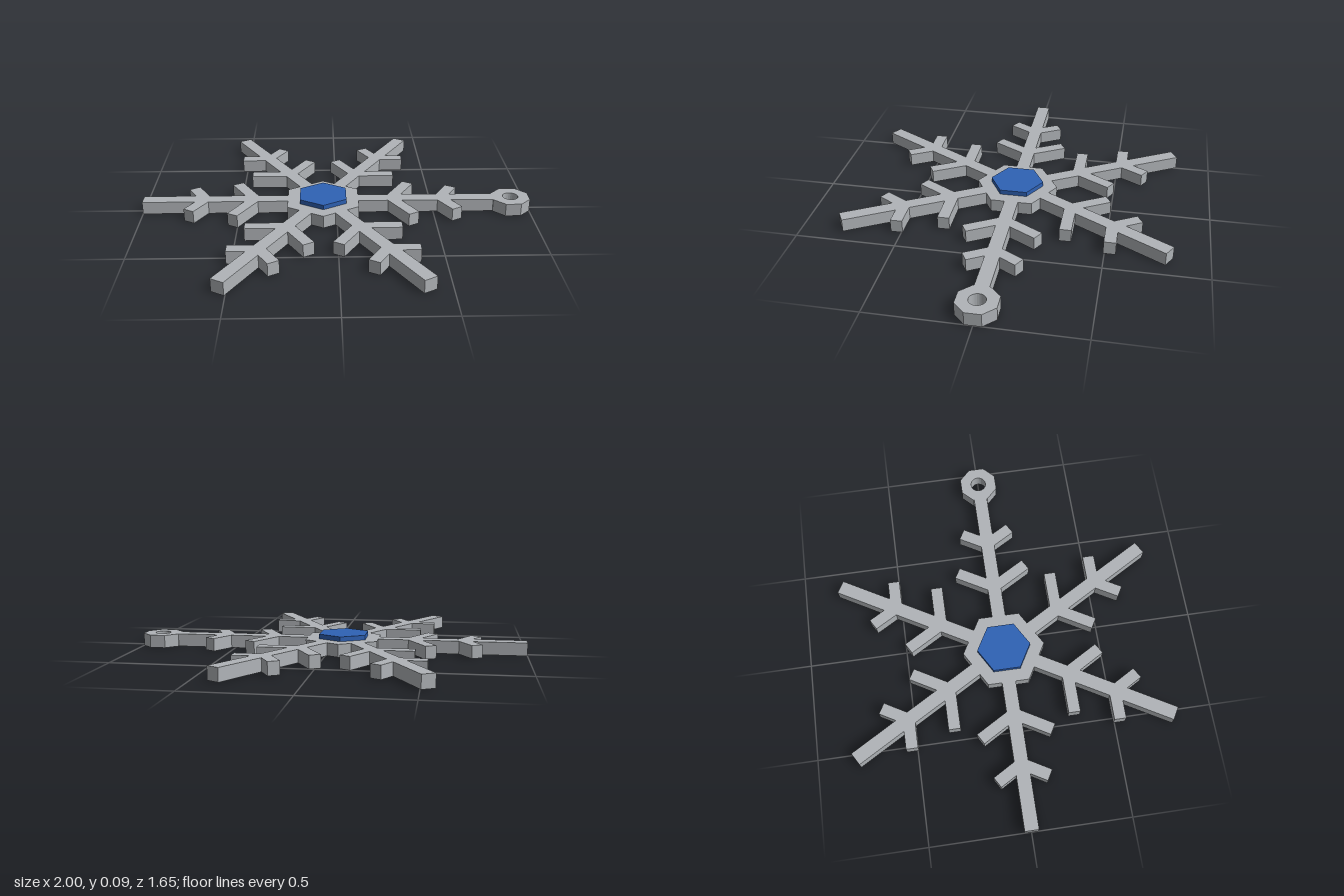
import * as THREE from 'three';

const CENTRE_X = -0.07;
const THICK = 0.066;      // slab height
const GEM_TOP = 0.09;
const HALF = 0.035;       // half width of an arm
const TWIG_HALF = 0.03;   // half width of a side twig
const ARM = 0.93;
const HUB_R = 0.21;
const TWIGS = [{ at: 0.35, len: 0.21 }, { at: 0.605, len: 0.15 }];
const RING = { at: 0.975, apothem: 0.095, hole: 0.04 };

// One side of an arm, from hub to tip, as [along, across] points
function armSide(hasRing) {
  const c = 0.5, s = Math.sqrt(3) / 2;
  const pts = [[HUB_R * s, HALF]];
  for (const { at, len } of TWIGS) {
    const mid = at + HALF * c / s, gap = TWIG_HALF / s;
    const tip = [at + len * c, len * s];
    pts.push(
      [mid - gap, HALF],
      [tip[0] - TWIG_HALF * s, tip[1] + TWIG_HALF * c],
      [tip[0] + TWIG_HALF * s, tip[1] - TWIG_HALF * c],
      [mid + gap, HALF]);
  }
  if (!hasRing) return [...pts, [ARM, HALF]];
  // the arm runs into an eight-sided ring
  const a = RING.apothem, e = a * Math.tan(Math.PI / 8);
  return [...pts, [RING.at - a, HALF], [RING.at - a, e], [RING.at - e, a], [RING.at + e, a], [RING.at + a, e]];
}

// Whole outline: six arms, with a hub corner between neighbours
function snowflakeShape() {
  const outline = [];
  for (let i = 0; i < 6; i++) {
    const angle = i * Math.PI / 3;
    const side = armSide(i === 0);
    const arm = [...side.map(([r, t]) => [r, -t]), ...side.slice().reverse()];
    for (const [r, t] of arm) {
      outline.push(new THREE.Vector2(r, t).rotateAround(new THREE.Vector2(), angle));
    }
    const corner = angle + Math.PI / 6;
    outline.push(new THREE.Vector2(Math.cos(corner) * HUB_R, Math.sin(corner) * HUB_R));
  }
  const shape = new THREE.Shape(outline);
  shape.holes.push(new THREE.Path().absarc(RING.at, 0, RING.hole, 0, Math.PI * 2, true));
  return shape;
}

export function createModel() {
  const silver = new THREE.MeshStandardMaterial({ color: 0xb0b4b8 });
  silver.name = 'silver';
  const blue = new THREE.MeshStandardMaterial({ color: 0x2f62b5 });
  blue.name = 'blue';

  const group = new THREE.Group();
  group.name = 'snowflakePendant';

  // Flat snowflake with hanging ring
  const slab = new THREE.ExtrudeGeometry(snowflakeShape(), { depth: THICK, bevelEnabled: false, curveSegments: 12 });
  slab.rotateX(-Math.PI / 2);
  const snowflake = new THREE.Mesh(slab, silver);
  snowflake.name = 'snowflake';
  snowflake.position.x = CENTRE_X;
  group.add(snowflake);

  // Raised hexagonal gem, corners towards front and back
  const gemHeight = GEM_TOP - THICK;
  const gemGeometry = new THREE.CylinderGeometry(0.137, 0.137, gemHeight, 6).toNonIndexed();
  gemGeometry.computeVertexNormals();
  const gem = new THREE.Mesh(gemGeometry, blue);
  gem.name = 'gem';
  gem.position.set(CENTRE_X, THICK + gemHeight / 2, 0);
  group.add(gem);

  return group;
}
